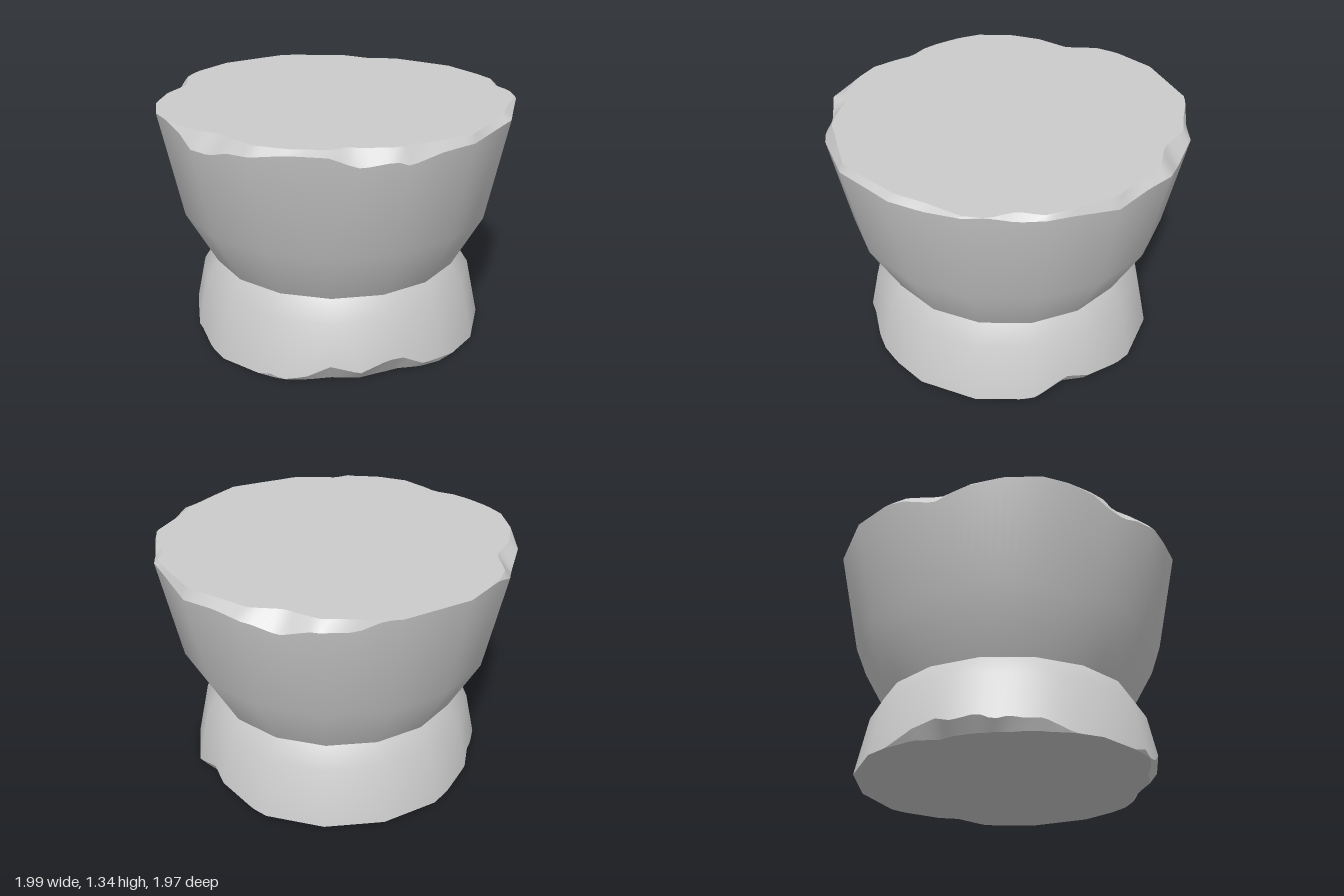
import * as THREE from 'three';

const STEPS = 128, TAU = Math.PI * 2, SIDE = TAU / 16;
const HEIGHT = 1.34, WAIST = 0.44;

// Chips as [degrees from +x towards +z, inset of the flat face, bite into the wall]
const RIM_CHIPS = [
  [0, .03, .04], [11, .045, .05], [22, .065, .085], [26, .05, .06], [36, .07, .085], [40, .09, .06],
  [45, .065, .02], [57, .03, .025], [68, .05, .05], [76, .065, .06], [83, .09, .095], [90, .065, .09],
  [96, .03, .03], [105, 0, 0], [124, 0, 0], [135, .06, .045], [141, .08, .06], [147, .1, .09],
  [157, .04, .04], [165, 0, 0], [207, 0, 0], [215, .03, .06], [227, .06, .05], [237, .1, .1],
  [246, .075, .05], [258, .055, .04], [270, .04, .06], [285, .02, .03], [293, .025, .02],
  [300, .05, .03], [308, 0, .005], [315, .01, .01], [327, .04, .03], [338, .05, .02], [350, .035, .03],
];
const FOOT_CHIPS = [
  [0, .02, .03], [8, .03, .03], [17, .08, .1], [23, .09, .11], [34, .05, .05], [45, .08, .1],
  [54, .03, .03], [63, 0, 0], [67, .015, .025], [73, 0, 0], [100, 0, 0], [111, .04, .06],
  [117, .04, .055], [123, .055, .07], [128, .05, .05], [133, .07, .08], [143, .06, .065],
  [149, .08, .09], [160, .03, .04], [171, 0, 0], [254, 0, 0], [268, .05, .05], [279, .08, .09],
  [291, .02, .02], [297, 0, 0], [352, 0, 0],
];

// Inset and bite at any angle, interpolated around the closed list
function chipAt(list, a) {
  const d = a * 360 / TAU;
  let k = list.length - 1;
  while (list[k][0] > d) k--;
  const p = list[k], q = list[k + 1] ?? [360, list[0][1], list[0][2]];
  const t = (d - p[0]) / (q[0] - p[0]);
  return { inset: THREE.MathUtils.lerp(p[1], q[1], t), bite: THREE.MathUtils.lerp(p[2], q[2], t) };
}

// Sixteen-sided outline with unit corner radius
const outline = a => Math.cos(SIDE / 2) / Math.cos((a % SIDE) - SIDE / 2);
const rimRadius = y => 0.88 + 0.12 * (y - 0.75) / (HEIGHT - 0.75);
const footRadius = y => 0.85 - 0.07 * y / 0.33;

// Joins rings; each ring is a function of angle giving [radius, y].
// Optional slopes give each ring a smooth normal around the axis.
function band(name, rings, slopes) {
  const pos = [], nor = [], index = [];
  rings.forEach((ring, j) => {
    for (let i = 0; i < STEPS; i++) {
      const a = i / STEPS * TAU, [r, y] = ring(a);
      pos.push(r * Math.cos(a), y, r * Math.sin(a));
      if (slopes) {
        const n = new THREE.Vector3(Math.cos(a), slopes[j], Math.sin(a)).normalize();
        nor.push(n.x, n.y, n.z);
      }
      if (j === 0) continue;
      const i2 = (i + 1) % STEPS, lo = (j - 1) * STEPS, hi = j * STEPS;
      index.push(lo + i, hi + i, lo + i2, hi + i, hi + i2, lo + i2);
    }
  });
  const geo = new THREE.BufferGeometry();
  geo.setAttribute('position', new THREE.Float32BufferAttribute(pos, 3));
  geo.setIndex(index);
  if (slopes) geo.setAttribute('normal', new THREE.Float32BufferAttribute(nor, 3));
  else geo.computeVertexNormals();
  const mesh = new THREE.Mesh(geo, new THREE.MeshStandardMaterial({ color: 0xcccccc }));
  mesh.name = name;
  return mesh;
}

export function createModel() {
  const model = new THREE.Group();
  model.name = 'chippedPedestal';

  const level = (r, y) => a => [r * outline(a), y];
  const centre = y => () => [0, y];

  // Edges where the chips meet the walls and the flat faces
  const rimWallEdge = a => {
    const y = HEIGHT - chipAt(RIM_CHIPS, a).bite;
    return [rimRadius(y) * outline(a), y];
  };
  const rimFaceEdge = a => [outline(a) - chipAt(RIM_CHIPS, a).inset, HEIGHT];
  const footWallEdge = a => {
    const y = chipAt(FOOT_CHIPS, a).bite;
    return [footRadius(y) * outline(a), y];
  };
  const footFaceEdge = a => [0.85 * outline(a) - chipAt(FOOT_CHIPS, a).inset, 0];

  model.add(
    // Foot, from the underside up to the waist
    band('footUnderside', [centre(0), footFaceEdge]),
    band('footChips', [footFaceEdge, footWallEdge]),
    band('footWall', [footWallEdge, level(0.78, 0.33), level(0.71, WAIST)], [0.21, 0.38, 0.6]),
    // Bowl-shaped upper body
    band('bowlWall', [level(0.71, WAIST), level(0.88, 0.75), rimWallEdge], [-0.55, -0.36, -0.2]),
    band('rimChips', [rimWallEdge, rimFaceEdge]),
    band('topFace', [rimFaceEdge, centre(HEIGHT)]),
  );
  return model;
}
